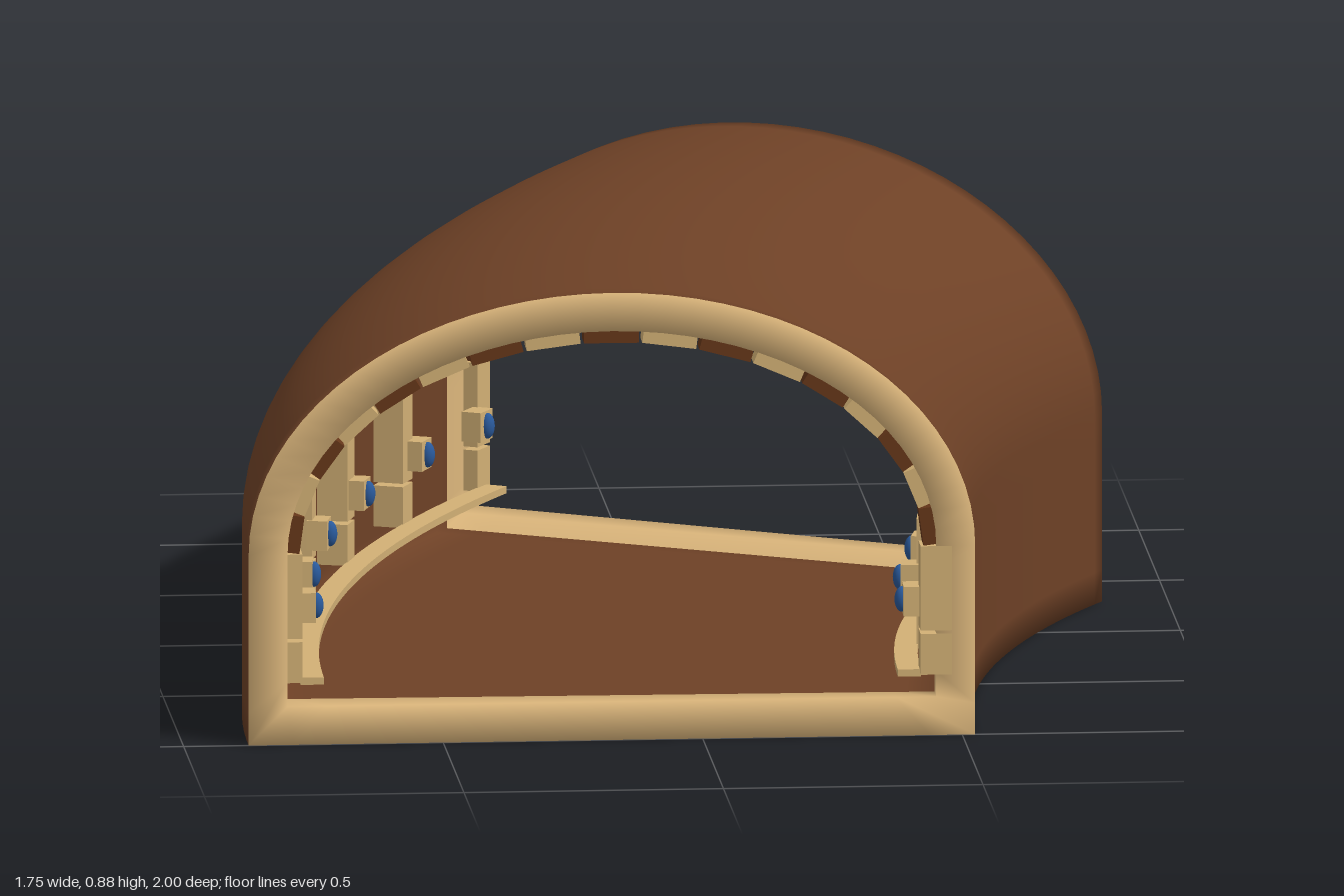
import * as THREE from 'three';

const CX = 3.125, CZ = 1, R = 3.3;          // bend centre and centre-line radius
const DEG = Math.PI / 180, SWEEP = 30 * DEG;
const SPRING = 0.37;                        // height where the arch starts

const mat = (name, color) => {
  const m = new THREE.MeshStandardMaterial({ color });
  m.name = name;
  return m;
};

// cross-section coordinate u (towards the bend centre) and angle a to world x, z
const bend = (u, a) => [CX - (R - u) * Math.cos(a), CZ - (R - u) * Math.sin(a)];

// vaulted outline, inset by o, counter-clockwise from the lower left corner
function outline(o) {
  const w = 0.7 - o, pts = [];
  for (let i = 0; i < 16; i++) pts.push([-w + (2 * w * i) / 16, o]);
  for (let i = 0; i < 6; i++) pts.push([w, o + ((SPRING - o) * i) / 6]);
  for (let i = 0; i < 40; i++) {
    const t = (Math.PI * i) / 40;
    pts.push([w * Math.cos(t), SPRING + (0.505 - o) * Math.sin(t)]);
  }
  for (let i = 0; i < 6; i++) pts.push([-w, SPRING - ((SPRING - o) * i) / 6]);
  return pts;
}

// closed shell: outside, end frame, inside, end frame
function shellGeometry() {
  const N = 40, SHELL = 0.042, FRAME = 0.075, LIP = 1.1 * DEG;
  const rows = [];                          // [inset, angle, material of the strip that follows]
  for (let i = 0; i <= N; i++) rows.push([0, (SWEEP * i) / N, i < N ? 0 : 1]);
  rows.push([FRAME, SWEEP, 1], [FRAME, SWEEP - LIP, 1]);
  for (let i = 0; i <= N; i++) {
    rows.push([SHELL, SWEEP - LIP - ((SWEEP - 2 * LIP) * i) / N, i < N ? 0 : 1]);
  }
  rows.push([FRAME, LIP, 1], [FRAME, 0, 1]);

  const pos = [], idx = [[], []];
  let n = 0;
  for (const [o, a] of rows) {
    const pts = outline(o);
    n = pts.length;
    for (const [u, y] of pts) {
      const [x, z] = bend(u, a);
      pos.push(x, y, z);
    }
  }
  rows.forEach((row, i) => {
    const i2 = (i + 1) % rows.length;
    for (let j = 0; j < n; j++) {
      const j2 = (j + 1) % n;
      const p = i * n + j, q = i2 * n + j, r = i2 * n + j2, s = i * n + j2;
      idx[row[2]].push(p, q, r, p, r, s);
    }
  });
  const g = new THREE.BufferGeometry();
  g.setAttribute('position', new THREE.Float32BufferAttribute(pos, 3));
  g.setIndex([...idx[0], ...idx[1]]);
  g.addGroup(0, idx[0].length, 0);
  g.addGroup(idx[0].length, idx[1].length, 1);
  g.computeVertexNormals();
  return g;
}

// thin bar bent along the tunnel
function railGeometry(u) {
  const g = new THREE.BoxGeometry(0.045, 0.014, 1, 1, 1, 40);
  const p = g.attributes.position;
  for (let i = 0; i < p.count; i++) {
    const [x, z] = bend(u + p.getX(i), SWEEP * (0.5 - p.getZ(i) * 0.97));
    p.setXYZ(i, x, p.getY(i) + 0.118, z);
  }
  g.computeVertexNormals();
  return g;
}

export function createModel() {
  const root = new THREE.Group();
  root.name = 'curvedTunnel';
  const brown = mat('earthBrown', 0x6e4126);
  const tan = mat('frameTan', 0xdeb87d);
  const block = mat('blockTan', 0xd2b075);
  const dark = mat('darkBrick', 0x653619);
  const blue = mat('lampBlue', 0x2a5a9c);

  const add = (parent, name, geo, material, x = 0, y = 0, z = 0) => {
    const m = new THREE.Mesh(geo, material);
    m.name = name;
    m.position.set(x, y, z);
    parent.add(m);
    return m;
  };
  // group standing across the tunnel at angle a
  const station = (name, a) => {
    const g = new THREE.Group();
    const [x, z] = bend(0, a);
    g.name = name;
    g.position.set(x, 0, z);
    g.rotation.y = -a;
    root.add(g);
    return g;
  };

  add(root, 'tunnelShell', shellGeometry(), [brown, tan]);
  for (const s of [-1, 1]) add(root, 'sideRail', railGeometry(s * 0.575), block);

  // ribs: stacked posts and an arch of alternating blocks
  const upper = new THREE.BoxGeometry(0.06, 0.165, 0.058);
  const lower = new THREE.BoxGeometry(0.06, 0.08, 0.058);
  const BRICKS = 17;
  const arch = (k) => {
    const t = (Math.PI * k) / BRICKS;
    return new THREE.Vector2(0.622 * Math.cos(t), SPRING + 0.428 * Math.sin(t));
  };
  for (let i = 0; i < 6; i++) {
    const rib = station('rib', (0.62 + 5.752 * i) * DEG);
    for (const s of [-1, 1]) {
      add(rib, 'postUpper', upper, block, s * 0.625, 0.287);
      add(rib, 'postLower', lower, block, s * 0.625, 0.158);
    }
    for (let k = 0; k < BRICKS; k++) {
      const p = arch(k), q = arch(k + 1), d = q.clone().sub(p);
      const geo = new THREE.BoxGeometry(d.length() * 0.92, 0.042, 0.056);
      const b = add(rib, 'archBlock', geo, k % 2 ? block : dark, (p.x + q.x) / 2, (p.y + q.y) / 2);
      b.rotation.z = Math.atan2(d.y, d.x);
    }
  }

  // wall lamps: bracket and blue bulb
  const bracket = new THREE.BoxGeometry(0.04, 0.058, 0.056);
  const bulb = new THREE.SphereGeometry(1, 16, 12);
  for (const deg of [1.4, 6, 12, 18, 24, 28.6]) {
    const lamp = station('wallLamp', deg * DEG);
    for (const s of [-1, 1]) {
      add(lamp, 'lampBracket', bracket, block, s * 0.585, 0.254);
      add(lamp, 'lampBulb', bulb, blue, s * 0.563, 0.254).scale.set(0.014, 0.025, 0.014);
    }
  }
  return root;
}
